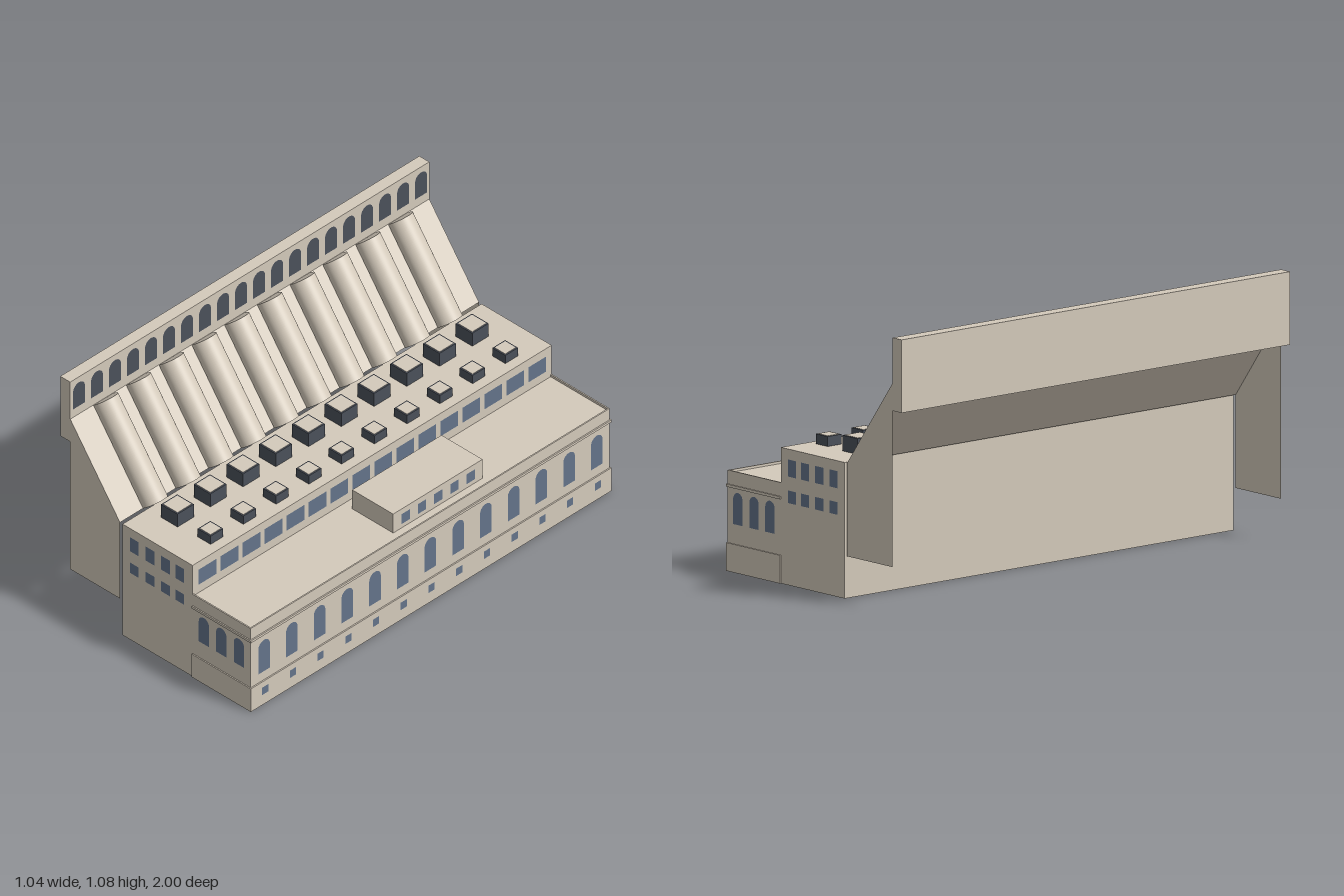
import * as THREE from 'three';

const stone = new THREE.MeshStandardMaterial({ color: 0xd4cabb, side: THREE.DoubleSide });
stone.name = 'stone';
const glass = new THREE.MeshStandardMaterial({ color: 0x64748a });
glass.name = 'windowGlass';
const dark = new THREE.MeshStandardMaterial({ color: 0x4b515b });
dark.name = 'darkMetal';

const END = 0.995; // half length of the main masses

function add(parent, name, geometry, material) {
  const mesh = new THREE.Mesh(geometry, material);
  mesh.name = name;
  parent.add(mesh);
  return mesh;
}

function group(parent, name) {
  const g = new THREE.Group();
  g.name = name;
  parent.add(g);
  return g;
}

// Box given by its limits on each axis; openFaces lists sides left out
// (0: +x, 1: -x, 2: +y, 3: -y, 4: +z, 5: -z)
function block(parent, name, [x0, x1], [y0, y1], [z0, z1], material = stone, openFaces = []) {
  const geometry = new THREE.BoxGeometry(x1 - x0, y1 - y0, z1 - z0);
  if (openFaces.length) {
    const kept = Array.from(geometry.index.array).filter((_, i) => !openFaces.includes(Math.floor(i / 6)));
    geometry.setIndex(kept);
    geometry.clearGroups();
  }
  const mesh = add(parent, name, geometry, material);
  mesh.position.set((x0 + x1) / 2, (y0 + y1) / 2, (z0 + z1) / 2);
}

// Strip running round three sides of the lower wing
function band(parent, name, xStart, [xIn, xOut], [zIn, zOut], y) {
  const g = group(parent, name);
  block(g, 'sideStrip', [xIn, xOut], y, [-zOut, zOut]);
  block(g, 'frontStrip', [xStart, xIn], y, [zIn, zOut]);
  block(g, 'backStrip', [xStart, xIn], y, [-zOut, -zIn]);
}

// Flat window face, square or round-headed, standing on its sill just off the wall
function windowGeometry(width, height, arched) {
  const r = width / 2;
  const s = new THREE.Shape();
  s.moveTo(-r, 0);
  s.lineTo(r, 0);
  if (arched) {
    s.lineTo(r, height - r);
    s.absarc(0, height - r, r, 0, Math.PI, false);
  } else {
    s.lineTo(r, height);
    s.lineTo(-r, height);
  }
  s.closePath();
  return new THREE.ShapeGeometry(s, 10).translate(0, 0, 0.0015);
}

// Row of windows along z on a wall facing +x
function sideRow(parent, name, count, zMax, x, y, geometry, material, zMid = 0) {
  const row = group(parent, name);
  for (let i = 0; i < count; i++) {
    const m = add(row, 'window', geometry, material);
    m.rotation.y = Math.PI / 2;
    m.position.set(x, y, zMid + zMax - (2 * zMax * i) / (count - 1));
  }
}

// Row of windows on both end walls
function endRows(parent, name, xs, y, geometry) {
  const row = group(parent, name);
  for (const side of [1, -1]) {
    for (const x of xs) {
      const m = add(row, 'window', geometry, glass);
      m.position.set(x, y, side * END);
      if (side < 0) m.rotation.y = Math.PI;
    }
  }
}

export function createModel() {
  const model = new THREE.Group();
  model.name = 'hydroelectricStation';

  // Dam crest with its arcade
  const dam = group(model, 'dam');
  block(dam, 'damCrest', [-0.521, -0.467], [0.79, 1.08], [-END, END]);
  sideRow(dam, 'crestArches', 20, 0.948, -0.467, 0.94, windowGeometry(0.066, 0.115, true), dark);

  // Open dam shell: two end panels and the sloping face
  const profile = new THREE.Shape([
    new THREE.Vector2(-0.467, 0.17), new THREE.Vector2(-0.196, 0.17),
    new THREE.Vector2(-0.196, 0.54), new THREE.Vector2(-0.467, 0.9),
  ]);
  for (const side of [1, -1]) {
    add(dam, 'damEndPanel', new THREE.ShapeGeometry(profile), stone).position.z = side * END;
  }
  const slope = group(dam, 'slope');
  slope.position.set(-0.3315, 0.72, 0);
  slope.rotation.z = -Math.atan2(0.36, 0.271);
  const face = add(slope, 'slopingFace', new THREE.PlaneGeometry(0.45, 2 * END), stone);
  face.rotation.x = -Math.PI / 2;

  // Penstocks: D-shaped pipes lying down the slope
  const r = 0.055, straight = 0.013, length = 0.45;
  const d = new THREE.Shape();
  d.moveTo(-r, 0);
  d.lineTo(r, 0);
  d.lineTo(r, straight);
  d.absarc(0, straight, r, 0, Math.PI, false);
  d.closePath();
  const pipeGeometry = new THREE.ExtrudeGeometry(d, { depth: length, bevelEnabled: false, curveSegments: 20 });
  pipeGeometry.translate(0, 0.005, -length / 2).rotateY(Math.PI / 2);

  // Powerhouse, open underneath, with rooftop vents in line with the penstocks
  const hall = group(model, 'powerhouse');
  block(hall, 'powerhouseShell', [-0.182, 0.199], [0, 0.54], [-END, END], stone, [3]);
  const vents = group(hall, 'roofVents');
  for (let i = 0; i < 10; i++) {
    const z = -0.818 + i * 0.1815;
    add(slope, 'penstock', pipeGeometry, stone).position.z = z;
    for (const [x, size, top] of [[-0.06, 0.09, 0.604], [0.12, 0.07, 0.581]]) {
      const h = size / 2, c = h - 0.006;
      block(vents, 'vent', [x - h, x + h], [0.5415, top], [z - h, z + h], dark);
      block(vents, 'ventCap', [x - c, x + c], [top - 0.002, top + 0.0015], [z - c, z + c]);
    }
  }
  sideRow(hall, 'clerestory', 16, 0.914, 0.199, 0.43, windowGeometry(0.098, 0.073, false), glass);
  const columns = [-0.117, -0.032, 0.053, 0.131];
  endRows(hall, 'upperEndWindows', columns, 0.431, windowGeometry(0.048, 0.068, false));
  endRows(hall, 'lowerEndWindows', columns, 0.326, windowGeometry(0.048, 0.05, false));

  // Lower wing, open underneath: shell, plinth, cornice, parapet
  const wing = group(model, 'lowerWing');
  const wall = 0.515, ledge = 0.521, start = 0.199;
  block(wing, 'wingShell', [start, wall], [0, 0.39], [-END, END], stone, [1, 3]);
  band(wing, 'plinth', start, [wall, ledge], [END, 1], [0, 0.112]);
  band(wing, 'cornice', start, [wall, ledge], [END, 1], [0.334, 0.345]);
  band(wing, 'parapet', start, [wall - 0.006, wall], [END - 0.006, END], [0.39, 0.4]);
  sideRow(wing, 'sideArches', 13, 0.922, wall, 0.155, windowGeometry(0.064, 0.152, true), glass);
  sideRow(wing, 'plinthWindows', 13, 0.922, ledge, 0.05, windowGeometry(0.034, 0.036, false), glass);
  endRows(wing, 'endArches', [0.262, 0.357, 0.453], 0.191, windowGeometry(0.056, 0.127, true));

  // Penthouse on the wing roof
  const penthouse = group(model, 'penthouse');
  block(penthouse, 'penthouseBody', [0.246, 0.469], [0.39, 0.482], [-0.337, 0.158], stone, [3]);
  sideRow(penthouse, 'penthouseWindows', 5, 0.18, 0.469, 0.41, windowGeometry(0.046, 0.048, false), glass, -0.09);

  return model;
}
